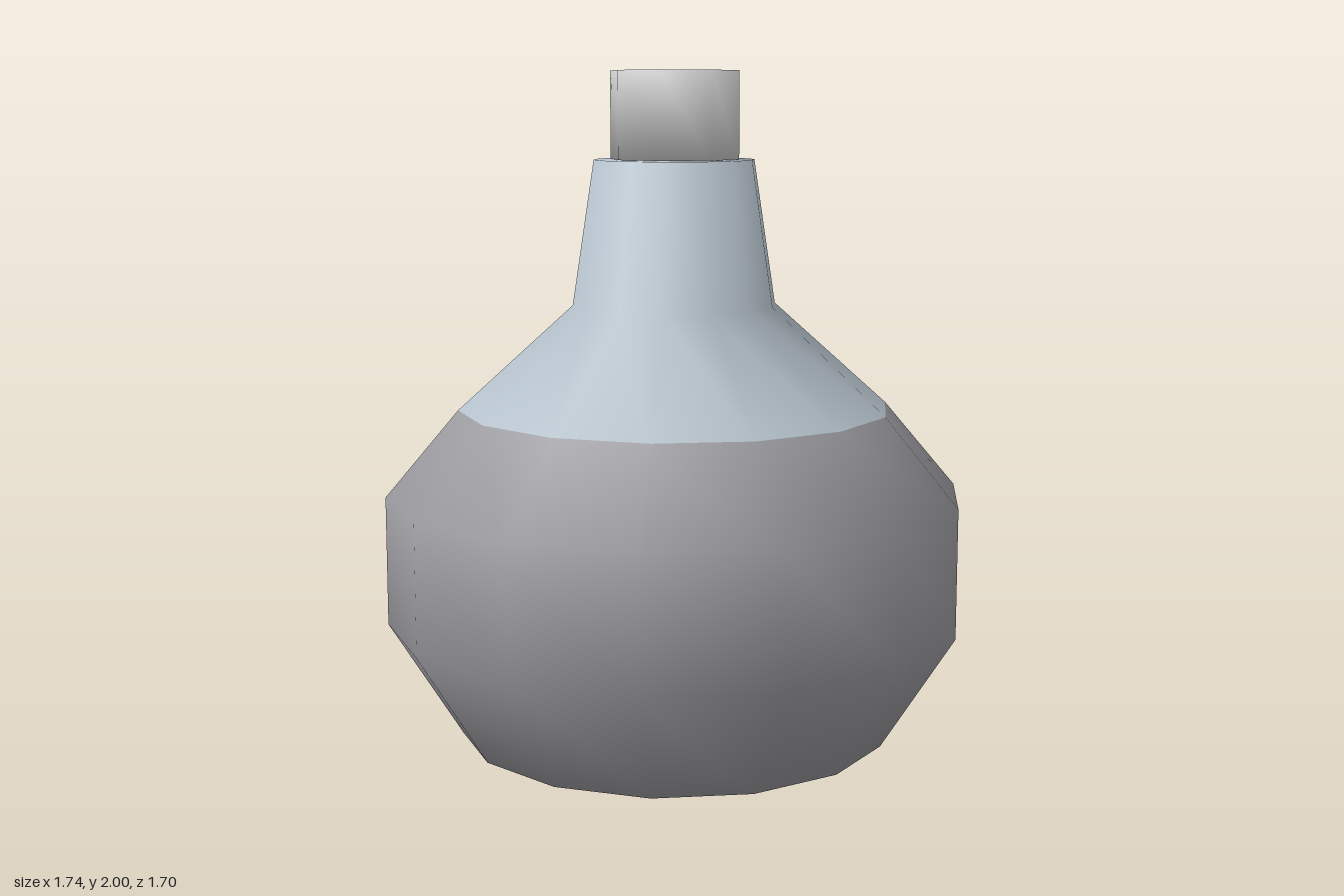
import * as THREE from 'three';

// Smooth-shaded turned part with a corner on the +x axis
function turned(name, profile, sides, color) {
  const points = profile.map(([r, y]) => new THREE.Vector2(r, y));
  const geometry = new THREE.LatheGeometry(points, sides, Math.PI / 2);
  const material = new THREE.MeshStandardMaterial({ color });
  const mesh = new THREE.Mesh(geometry, material);
  mesh.name = name;
  return mesh;
}

export function createModel() {
  const group = new THREE.Group();
  group.name = 'flask';

  // Filled lower bulb with closed base
  group.add(turned('liquidBody', [
    [0, 0], [0.65, 0], [0.87, 0.35], [0.87, 0.74], [0.65, 1],
  ], 14, 0x9c9ca1));

  // Clear shoulder and tapering neck, closed at the rim
  group.add(turned('glassNeck', [
    [0.65, 1], [0.305, 1.31], [0.24, 1.74], [0, 1.74],
  ], 14, 0xb5c1cb));

  // Eight-sided stopper
  group.add(turned('stopper', [
    [0, 1.741], [0.195, 1.741], [0.195, 2], [0, 2],
  ], 8, 0xcccccc));

  return group;
}
